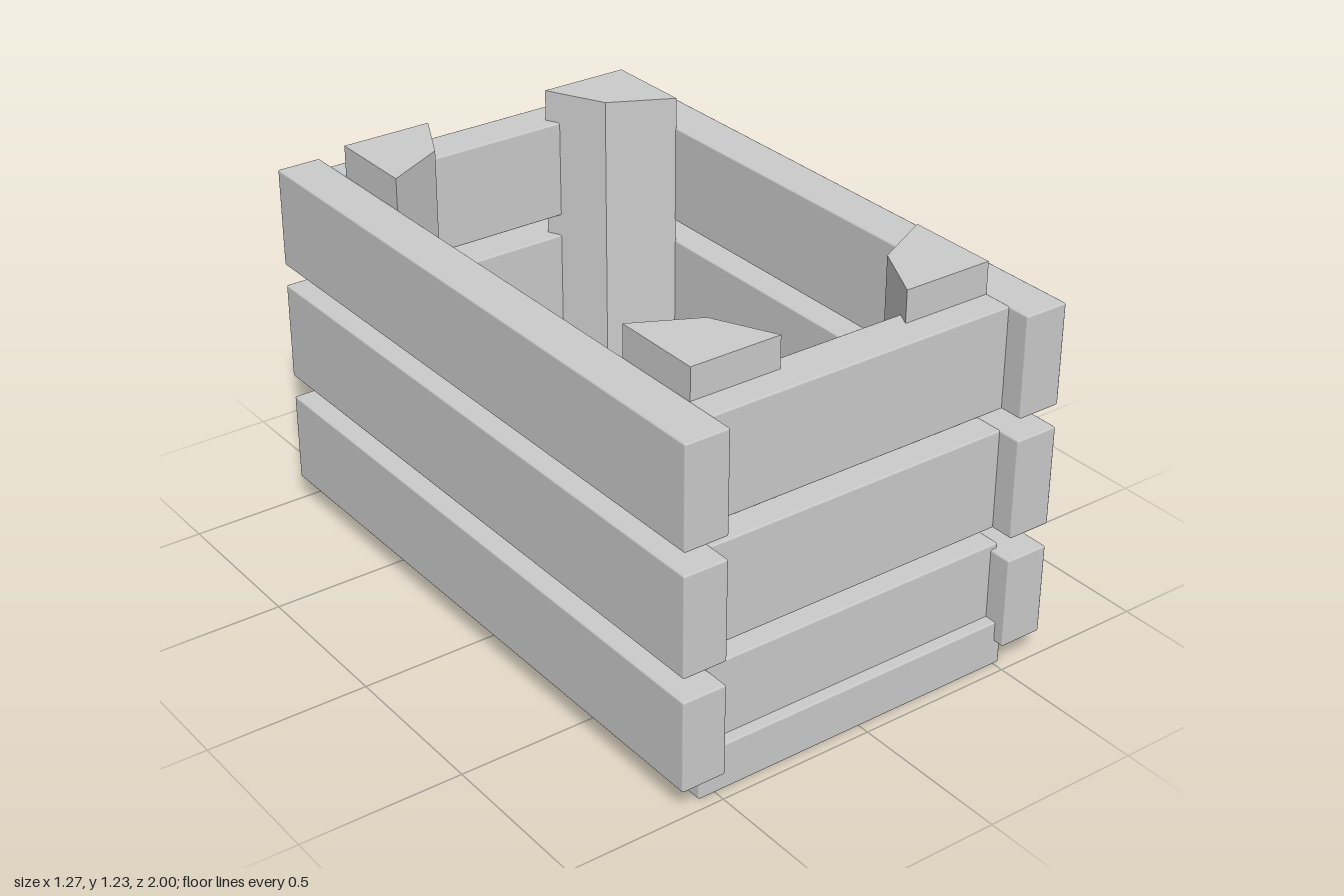
import * as THREE from 'three';
import { RoundedBoxGeometry } from 'three/addons/geometries/RoundedBoxGeometry.js';

const material = new THREE.MeshStandardMaterial({ color: 0xcccccc });

// Board with slightly eased edges, given by its extents on each axis
function board(name, [x0, x1], [y0, y1], [z0, z1]) {
  const geometry = new RoundedBoxGeometry(x1 - x0, y1 - y0, z1 - z0, 1, 0.006);
  const mesh = new THREE.Mesh(geometry, material);
  mesh.position.set((x0 + x1) / 2, (y0 + y1) / 2, (z0 + z1) / 2);
  mesh.name = name;
  return mesh;
}

// Corner post: a chamfered wedge section extruded upwards
function cornerPost(sx, sz) {
  const section = [[0.497, 0.837], [0.21, 0.837], [0.303, 0.65], [0.497, 0.55]];
  const shape = new THREE.Shape(section.map(([x, z]) => new THREE.Vector2(sx * x, -sz * z)));
  const bottom = 0.12, top = 1.23;
  const geometry = new THREE.ExtrudeGeometry(shape, { depth: top - bottom, bevelEnabled: false });
  geometry.rotateX(-Math.PI / 2);
  geometry.translate(0, bottom, 0);
  const mesh = new THREE.Mesh(geometry, material);
  mesh.name = `${sz > 0 ? 'front' : 'back'}${sx > 0 ? 'Left' : 'Right'}Post`;
  return mesh;
}

export function createModel() {
  const crate = new THREE.Group();
  crate.name = 'crate';

  // Floor panel, set slightly forward
  crate.add(board('floor', [-0.555, 0.52], [0, 0.145], [-0.87, 0.965]));

  // Three tiers of slats; the lowest end slats sit a little off the tier
  const tiers = [
    { name: 'lower', side: [0.08, 0.367], end: [0.07, 0.383], endX: [-0.5, 0.52] },
    { name: 'middle', side: [0.44, 0.752], end: [0.44, 0.752], endX: [-0.5, 0.5] },
    { name: 'upper', side: [0.82, 1.132], end: [0.82, 1.132], endX: [-0.5, 0.5] },
  ];
  for (const { name, side, end, endX } of tiers) {
    crate.add(
      board(`${name}LeftSlat`, [0.495, 0.635], side, [-1, 1]),
      board(`${name}RightSlat`, [-0.635, -0.495], side, [-1, 1]),
      board(`${name}FrontSlat`, endX, end, [0.787, 0.927]),
      board(`${name}BackSlat`, endX, end, [-0.93, -0.793]),
    );
  }

  // Inner corner posts
  for (const sx of [-1, 1]) for (const sz of [-1, 1]) crate.add(cornerPost(sx, sz));

  return crate;
}
